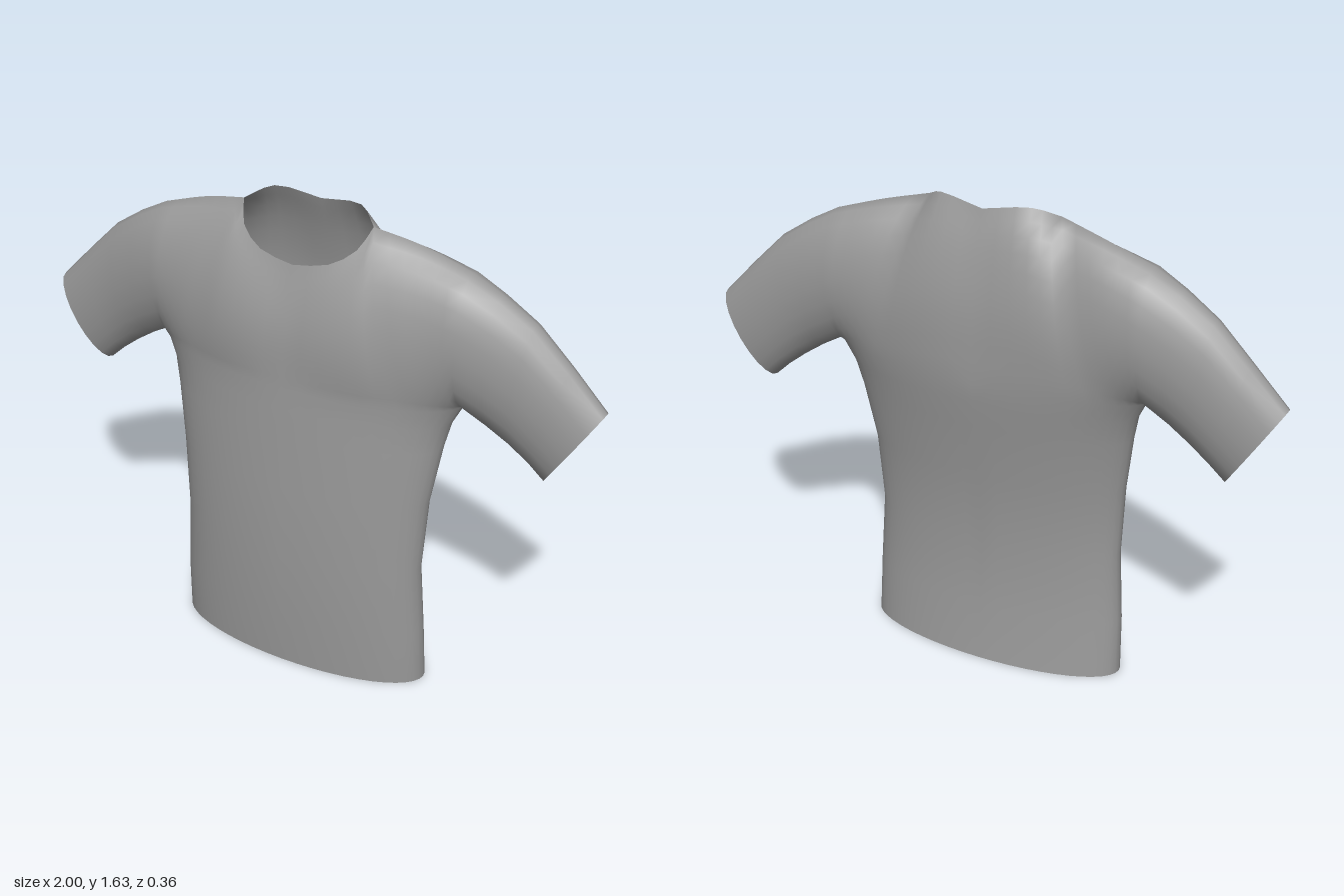
import * as THREE from 'three';
import { mergeVertices } from 'three/addons/utils/BufferGeometryUtils.js';

const V = (x, y, z) => new THREE.Vector3(x, y, z);
const curve = (...pts) => new THREE.CatmullRomCurve3(pts.map((p) => V(...p)));

const COLS = 12; // centre to side, per quarter
const ROWS = 10; // armpit to shoulder

// torso rings: height, half width, front z, back z, side z
const RINGS = [
  [0, 0.465, 0.165, -0.145, 0.005],
  [0.2, 0.46, 0.175, -0.12, 0.015],
  [0.45, 0.445, 0.18, -0.105, 0.02],
  [0.7, 0.46, 0.173, -0.125, 0.01],
  [0.9, 0.49, 0.162, -0.155, -0.015],
  [0.99, 0.51, 0.158, -0.167, -0.03],
  [1.06, 0.545, 0.153, -0.175, -0.0425],
];

// sleeve rings: top x, y, bottom x, y, front z, back z
const SLEEVE = [
  [0.55, 1.51, 0.545, 1.06, 0.075, -0.16],
  [0.65, 1.457, 0.63, 1.012, 0.055, -0.152],
  [0.76, 1.385, 0.7, 0.965, 0.035, -0.146],
  [0.88, 1.268, 0.765, 0.915, 0.02, -0.14],
  [1.0, 1.145, 0.82, 0.865, 0.012, -0.133],
];

// point on a torso ring, s from centre (0) to side (1)
function torsoPoint([y, w, front, back, side], s, isFront) {
  const a = s * Math.PI / 2;
  return V(w * Math.sin(a), y, side + ((isFront ? front : back) - side) * Math.cos(a));
}

// point on a sleeve ring, r from underarm (0) to top (1)
function sleevePoint([tx, ty, bx, by, front, back], r, isFront) {
  const a = r * Math.PI, k = (1 - Math.cos(a)) / 2, mid = (front + back) / 2;
  const half = (front - back) / 2 * (isFront ? 1 : -1);
  return V(bx + (tx - bx) * k, by + (ty - by) * k, mid + half * Math.sin(a));
}

// edges of the chest and upper back
const centre = {
  front: curve([0, 1.06, 0.153], [0, 1.26, 0.138], [0, 1.46, 0.085]),
  back: curve([0, 1.06, -0.175], [0, 1.3, -0.166], [0, 1.48, -0.133], [0, 1.615, -0.095]),
};
const neck = {
  front: curve([0, 1.46, 0.085], [0.12, 1.483, 0.075], [0.2, 1.535, 0.04], [0.23, 1.6, -0.01]),
  back: curve([0, 1.615, -0.095], [0.155, 1.635, -0.07], [0.23, 1.6, -0.01]),
};
const shoulder = curve([0.23, 1.6, -0.01], [0.38, 1.565, -0.035], [0.55, 1.51, -0.0425]);

// panel spanned between ring, centre line, neck with shoulder, and armhole
function yokePoint(s, r, isFront) {
  const key = isFront ? 'front' : 'back';
  const bottom = (u) => torsoPoint(RINGS[RINGS.length - 1], u, isFront);
  const top = (u) => (u <= 0.5 ? neck[key].getPoint(u * 2) : shoulder.getPoint(u * 2 - 1));
  const p = V(0, 0, 0);
  p.addScaledVector(bottom(s), 1 - r).addScaledVector(top(s), r);
  p.addScaledVector(centre[key].getPoint(r), 1 - s);
  p.addScaledVector(sleevePoint(SLEEVE[0], r, isFront), s);
  p.addScaledVector(bottom(0), -(1 - s) * (1 - r)).addScaledVector(bottom(1), -s * (1 - r));
  p.addScaledVector(top(0), -(1 - s) * r).addScaledVector(top(1), -s * r);
  return p;
}

export function createModel() {
  const group = new THREE.Group();
  group.name = 'tShirt';
  const fabric = new THREE.MeshStandardMaterial({ color: 0x999999, side: THREE.DoubleSide });
  fabric.name = 'greyFabric';

  const positions = [], index = [], parts = {};

  // grid of quads, facing outward on every quarter
  function addSheet(part, cols, rows, point, mirrored, isFront) {
    const base = positions.length / 3, flip = mirrored === isFront;
    for (let j = 0; j <= rows; j++) {
      for (let i = 0; i <= cols; i++) {
        const p = point(i, j);
        positions.push(mirrored ? -p.x : p.x, p.y, p.z);
      }
    }
    const range = [index.length, 0];
    for (let j = 0; j < rows; j++) {
      for (let i = 0; i < cols; i++) {
        const a = base + j * (cols + 1) + i, b = a + 1, d = a + cols + 1, c = d + 1;
        index.push(...(flip ? [a, c, b, a, d, c] : [a, b, c, a, c, d]));
      }
    }
    range[1] = index.length;
    (parts[part] ??= []).push(range);
  }

  for (const mirrored of [false, true]) {
    for (const isFront of [true, false]) {
      addSheet('torso', COLS, RINGS.length - 1,
        (i, j) => torsoPoint(RINGS[j], i / COLS, isFront), mirrored, isFront);
      addSheet(isFront ? 'chest' : 'upperBack', COLS, ROWS,
        (i, j) => yokePoint(i / COLS, j / ROWS, isFront), mirrored, isFront);
      addSheet(mirrored ? 'rightSleeve' : 'leftSleeve', SLEEVE.length - 1, ROWS,
        (i, j) => sleevePoint(SLEEVE[i], j / ROWS, isFront), mirrored, isFront);
    }
  }

  // weld everything so shading runs smoothly across the seams
  let whole = new THREE.BufferGeometry();
  whole.setAttribute('position', new THREE.Float32BufferAttribute(positions, 3));
  whole.setIndex(index);
  whole = mergeVertices(whole, 1e-4);
  whole.computeVertexNormals();
  const welded = Array.from(whole.index.array);

  for (const [name, ranges] of Object.entries(parts)) {
    const geometry = new THREE.BufferGeometry();
    geometry.setAttribute('position', whole.attributes.position);
    geometry.setAttribute('normal', whole.attributes.normal);
    geometry.setIndex(ranges.flatMap(([from, to]) => welded.slice(from, to)));
    const mesh = new THREE.Mesh(geometry, fabric);
    mesh.name = name;
    group.add(mesh);
  }
  return group;
}
